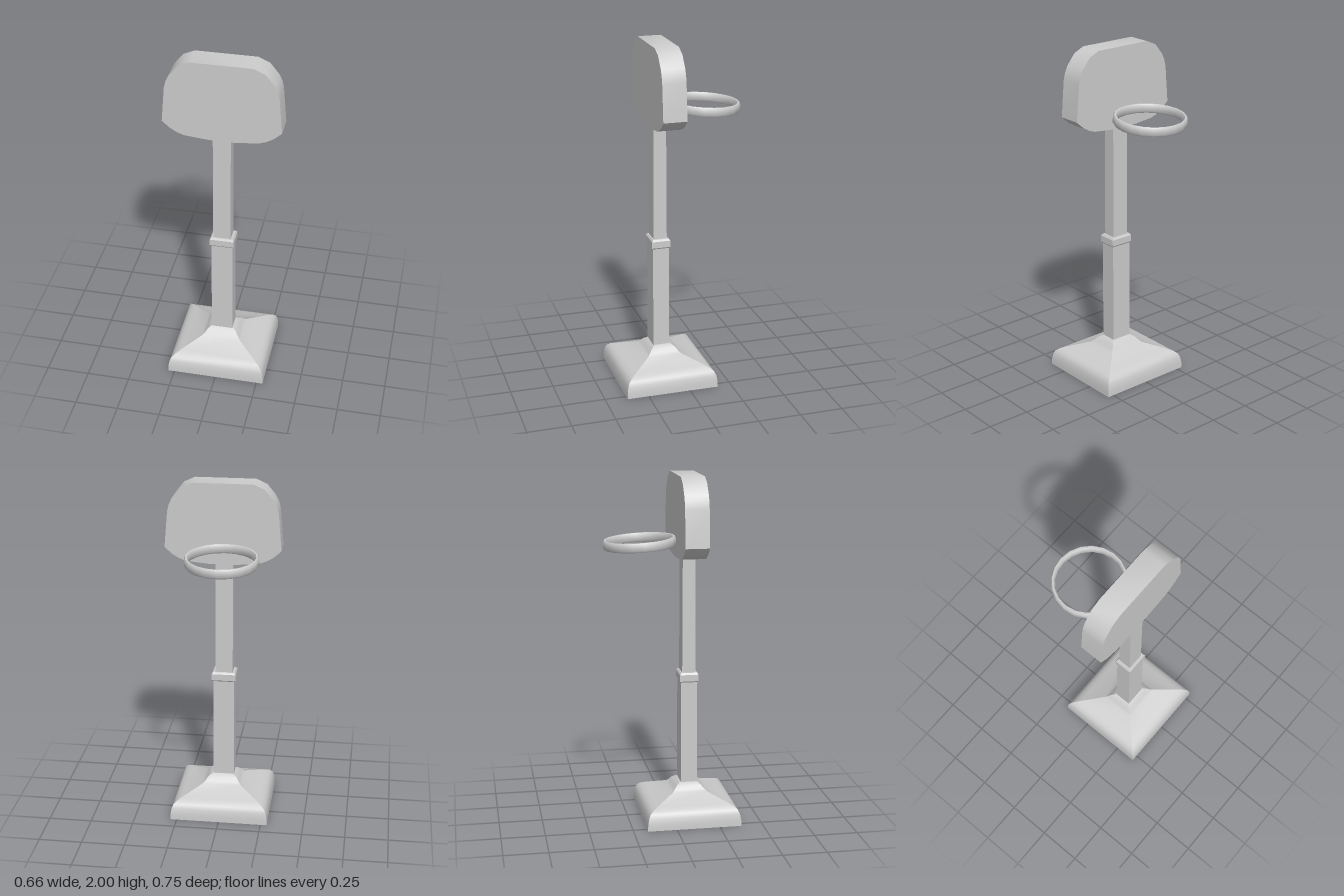
import * as THREE from 'three';
import { toCreasedNormals } from 'three/addons/utils/BufferGeometryUtils.js';

const material = new THREE.MeshStandardMaterial({ color: 0xcccccc });

// Stack of rectangular sections [y, halfWidth, halfDepth], capped at both ends
function rectLoft(sections) {
  const positions = [], index = [];
  for (const [y, w, d] of sections) positions.push(w, y, d, w, y, -d, -w, y, -d, -w, y, d);
  for (let i = 0; i < sections.length - 1; i++) {
    for (let k = 0; k < 4; k++) {
      const a = i * 4 + k, b = i * 4 + (k + 1) % 4;
      index.push(a, b, b + 4, a, b + 4, a + 4);
    }
  }
  const t = (sections.length - 1) * 4;
  index.push(0, 2, 1, 0, 3, 2, t, t + 1, t + 2, t, t + 2, t + 3);
  const geometry = new THREE.BufferGeometry();
  geometry.setAttribute('position', new THREE.Float32BufferAttribute(positions, 3));
  geometry.setIndex(index);
  return toCreasedNormals(geometry, 0.5);
}

export function createModel() {
  const group = new THREE.Group();
  const add = (name, geometry, x, y, z) => {
    const mesh = new THREE.Mesh(geometry, material);
    mesh.name = name;
    mesh.position.set(x, y, z);
    group.add(mesh);
    return mesh;
  };

  // Weighted base with rounded shoulders and a raised socket
  add('base', rectLoft([
    [0, 0.287, 0.272], [0.035, 0.286, 0.271], [0.07, 0.28, 0.265], [0.092, 0.27, 0.255],
    [0.107, 0.253, 0.238], [0.12, 0.225, 0.21], [0.162, 0.115, 0.1], [0.175, 0.102, 0.087],
    [0.195, 0.086, 0.07], [0.207, 0.068, 0.052], [0.21, 0.062, 0.047],
  ]), 0, 0, 0.103);

  // Telescoping square pole
  add('lowerPole', rectLoft([[0.19, 0.0625, 0.0475], [0.82, 0.0615, 0.0475]]), -0.003, 0, 0.107);
  add('upperPole', rectLoft([[0.84, 0.051, 0.039], [1.56, 0.05, 0.037]]), -0.004, 0, 0.107);
  add('collar', rectLoft([
    [0.81, 0.065, 0.049], [0.817, 0.07, 0.054], [0.855, 0.07, 0.054], [0.866, 0.063, 0.047],
  ]), -0.003, 0, 0.107);

  // Backboard outline, right half mirrored to the left
  const half = [
    [0.07, 1.535], [0.205, 1.548], [0.245, 1.562], [0.285, 1.585], [0.33, 1.625],
    [0.312, 1.835], [0.302, 1.875], [0.285, 1.91], [0.235, 1.972], [0.172, 2],
  ];
  const outline = [...half, ...half.map(([x, y]) => [-x, y]).reverse()];
  const shape = new THREE.Shape(outline.map(([x, y]) => new THREE.Vector2(x, y)));
  const board = new THREE.ExtrudeGeometry(shape, { depth: 0.135, bevelEnabled: false });
  add('backboard', toCreasedNormals(board, 0.7), 0, 0, 0.035);

  // Hoop: rounded band with twenty sides, tipped slightly away from the board
  const band = [
    [0.2, -0.026], [0.207, -0.016], [0.207, 0.016], [0.2, 0.026],
    [0.191, 0.026], [0.184, 0.016], [0.184, -0.016], [0.191, -0.026], [0.2, -0.026],
  ].map(([r, y]) => new THREE.Vector2(r, y));
  const hoop = add('hoop', toCreasedNormals(new THREE.LatheGeometry(band, 20), 0.8), -0.02, 1.621, -0.171);
  hoop.rotation.x = -0.062;

  return group;
}
